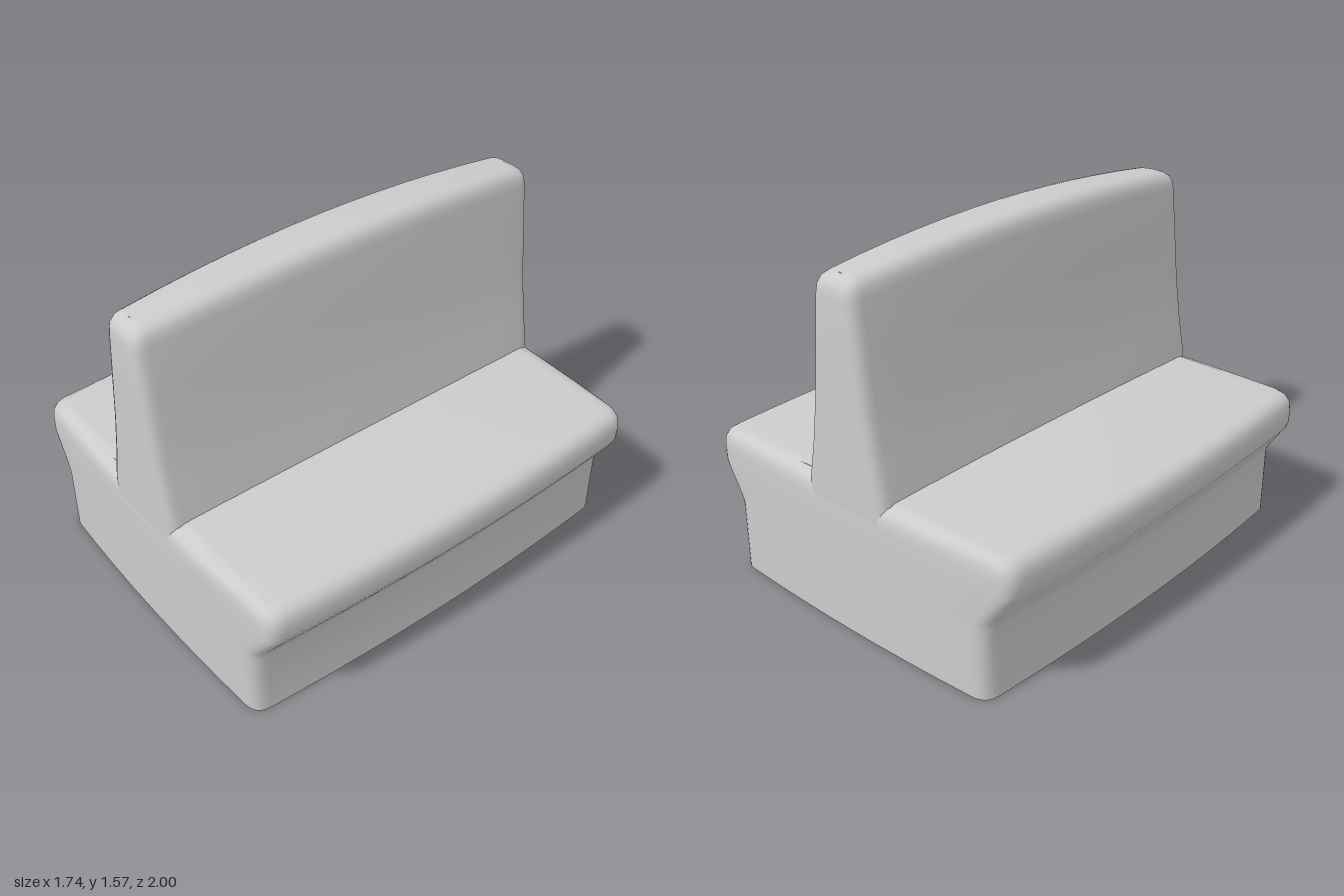
import * as THREE from 'three';
import { toCreasedNormals } from 'three/addons/utils/BufferGeometryUtils.js';

// Quarter outline of a rectangle with bowed sides and rounded corners, mirrored to a full loop
function outline(hx, hz, r, sideBow) {
  const endZ = (x) => hz - 0.045 * x * x;
  const sideX = (z) => hx - sideBow * z * z;
  const cx = sideX(0.95), cz = endZ(cx);
  const q = [];
  for (let i = 0; i < 6; i++) { // side
    const z = (cz - r) * i / 6;
    q.push([sideX(z), z]);
  }
  const corner = new THREE.QuadraticBezierCurve(
    new THREE.Vector2(sideX(cz - r), cz - r),
    new THREE.Vector2(cx, cz),
    new THREE.Vector2(cx - r, endZ(cx - r)));
  for (const p of corner.getPoints(5)) q.push([p.x, p.y]);
  for (let i = 1; i <= 4; i++) { // end
    const x = (cx - r) * (1 - i / 4);
    q.push([x, endZ(x)]);
  }
  const half = [...q, ...q.slice(0, -1).reverse().map(([x, z]) => [-x, z])];
  return [...half, ...half.slice(1, -1).reverse().map(([x, z]) => [x, -z])];
}

// Skin stacked outlines; a ring with flat: true collapses to the centre line to close the solid
function loft(rings, sideBow) {
  const pos = [], index = [];
  let n = 0;
  rings.forEach(({ y, hx, hz, r, droop = 0, flat = false }) => {
    const loop = outline(hx, hz, r, sideBow);
    n = loop.length;
    for (const [x, z] of loop) pos.push(flat ? 0 : x, y - droop * z * z, z);
  });
  for (let i = 0; i < rings.length - 1; i++) {
    for (let j = 0; j < n; j++) {
      const a = i * n + j, b = i * n + (j + 1) % n;
      index.push(a, a + n, b, b, a + n, b + n);
    }
  }
  const g = new THREE.BufferGeometry();
  g.setAttribute('position', new THREE.Float32BufferAttribute(pos, 3));
  g.setIndex(index);
  return toCreasedNormals(g, 0.75);
}

export function createModel() {
  const group = new THREE.Group();
  const material = new THREE.MeshStandardMaterial({ color: 0xcccccc, roughness: 0.8 });
  const add = (name, geometry) => {
    const mesh = new THREE.Mesh(geometry, material);
    mesh.name = name;
    group.add(mesh);
  };

  // Base: straight foot, flared shoulder, gently crowned top
  const base = [
    [0, 0.76, 1], [0.31, 0.76, 1], [0.335, 0.768, 1], [0.36, 0.782, 1],
    [0.46, 0.85, 1], [0.49, 0.864, 1], [0.55, 0.868, 0.998], [0.59, 0.862, 0.995],
    [0.615, 0.848, 0.985], [0.63, 0.825, 0.968], [0.635, 0.8, 0.945],
  ].map(([y, hx, hz]) => ({ y, hx, hz, r: 0.07 }));
  const foot = { ...base[0], flat: true };
  const crown = { ...base[base.length - 1], y: 0.677, droop: 0.038, flat: true };
  add('base', loft([foot, ...base, crown], 0.04));

  // Upright fin: tapered, with a rounded and arched top edge
  const fin = [
    [0.56, 0.25, 0.998, 0], [0.665, 0.235, 1, 0], [0.8, 0.208, 1, 0], [1, 0.178, 1, 0.005],
    [1.25, 0.153, 1, 0.02], [1.48, 0.131, 1, 0.05], [1.52, 0.125, 0.996, 0.055],
    [1.545, 0.112, 0.985, 0.057], [1.56, 0.092, 0.965, 0.058], [1.565, 0.07, 0.945, 0.058],
  ].map(([y, hx, hz, droop]) => ({ y, hx, hz, droop, r: Math.min(0.06, hx * 0.45) }));
  const ridge = { ...fin[fin.length - 1], y: 1.567, flat: true };
  add('fin', loft([...fin, ridge], 0.024));

  return group;
}
